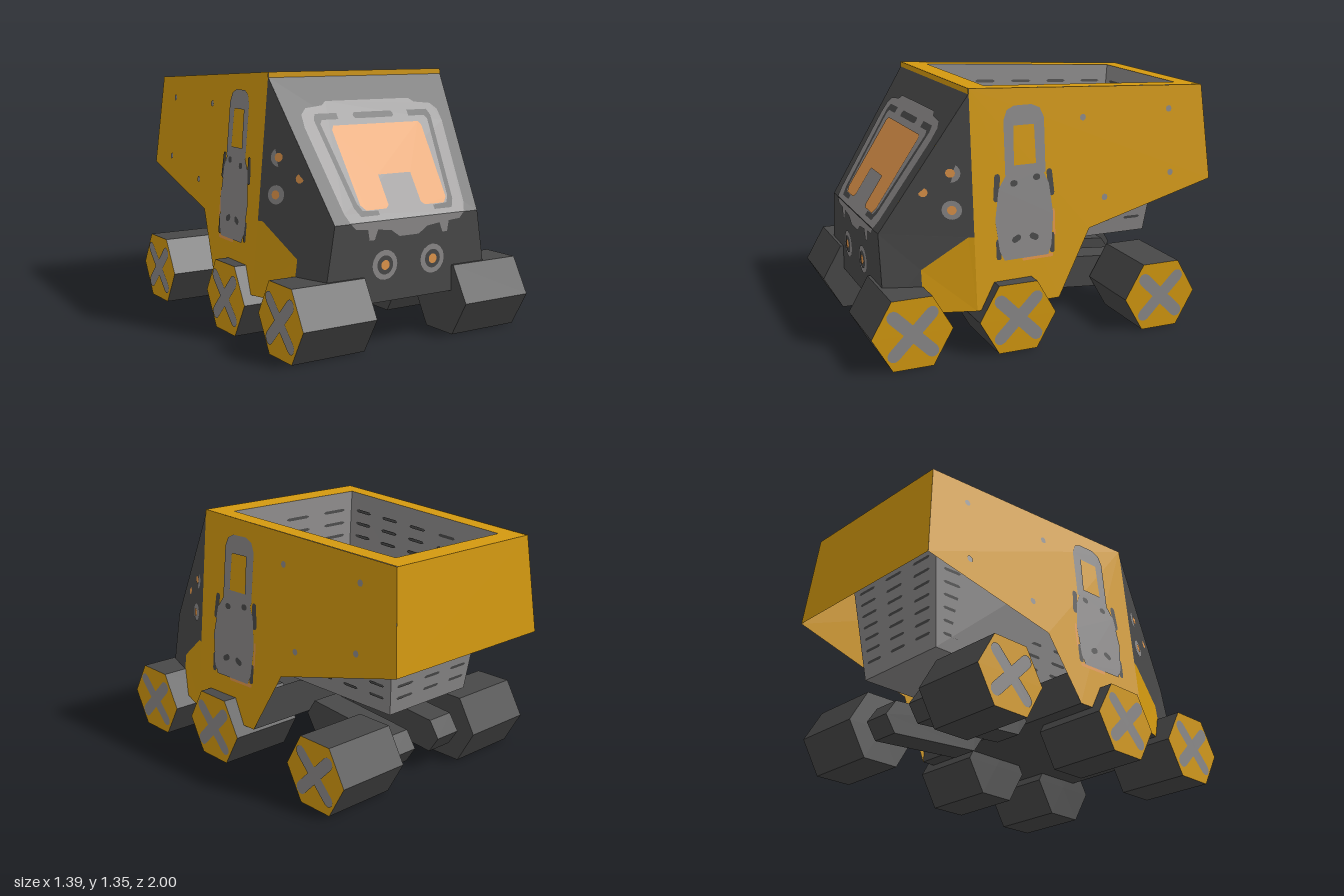
import * as THREE from 'three';

const mat = (name, color) => new THREE.MeshStandardMaterial({ name, color, flatShading: true, side: THREE.DoubleSide });

export function createModel() {
  const yellow = mat('yellow paint', 0xd2980f), dark = mat('dark metal', 0x484848);
  const gray = mat('gray metal', 0x8a8888), orange = mat('orange glass', 0xe0954a);
  const model = new THREE.Group();
  model.name = 'miningTruck';

  // A surface maps flat (u, v) to a point; out is its outward direction.
  const surface = (out, at) => ({ out: new THREE.Vector3(...out).normalize(), at });

  // Flat panel or painted detail: outlines laid on a surface, lifted by off.
  function plate(name, material, outlines, surf, off = 0, holes = []) {
    const toV = (pts) => pts.map(([u, v]) => new THREE.Vector2(u, v));
    const shapes = outlines.map((o) => new THREE.Shape(toV(o)));
    holes.forEach((h) => shapes[0].holes.push(new THREE.Path(toV(h))));
    const geo = new THREE.ShapeGeometry(shapes);
    const pos = geo.attributes.position, p = new THREE.Vector3();
    for (let i = 0; i < pos.count; i++) {
      p.set(...surf.at(pos.getX(i), pos.getY(i))).addScaledVector(surf.out, off);
      pos.setXYZ(i, p.x, p.y, p.z);
    }
    geo.computeVertexNormals();
    const n = new THREE.Vector3().fromBufferAttribute(geo.attributes.normal, 0);
    if (n.dot(surf.out) < 0) {
      geo.index.array.reverse();
      geo.computeVertexNormals();
    }
    const mesh = new THREE.Mesh(geo, material);
    mesh.name = name;
    model.add(mesh);
    return mesh;
  }

  // Outline helpers
  const disc = (cx, cy, r, n = 16) => Array.from({ length: n }, (_, i) =>
    [cx + r * Math.cos(i / n * Math.PI * 2), cy + r * Math.sin(i / n * Math.PI * 2)]);
  const bar = (x0, y0, x1, y1, w) => {
    const a = Math.atan2(y1 - y0, x1 - x0), pts = [];
    for (let i = 0; i < 12; i++) {
      const t = a - Math.PI / 2 + (i < 6 ? i : i - 1) * Math.PI / 5;
      pts.push([(i < 6 ? x1 : x0) + w * Math.cos(t), (i < 6 ? y1 : y0) + w * Math.sin(t)]);
    }
    return pts;
  };
  const mirrored = (pts) => [...pts, ...pts.slice().reverse().map(([x, y]) => [-x, y])];
  const flip = (pts) => pts.map(([x, y]) => [-x, y]);

  // Body surfaces
  const sideX = (z, y) => 0.54 + (1.35 - y) * 0.089 + (z - 0.43) * 0.045;
  const cabX = (z, y) => {
    const t = (z - 0.43) / 0.45, front = 0.44 + (0.635 - y) * 0.165;
    return sideX(0.43, y) * (1 - t) + front * t;
  };
  const slope = surface([0, 0.45, 0.69], (x, y) => [x, y, 0.43 + (1.325 - y) * 0.45 / 0.69]);
  const nose = surface([0, 0, 1], (x, y) => [x, y, 0.88]);
  const top = surface([0, 1, 0], (x, z) => [x, 1.328 + 0.051 * z, z]);
  const rear = surface([0, 0, -1], (x, y) => [x, y, -0.95 - (1.28 - y) * 0.05 / 0.52]);

  // Yellow shell: rim, rear panel and front lip
  plate('rim', yellow, [mirrored([[0.54, 0.43], [0.478, -0.95]])], top, 0,
    [mirrored([[0.44, 0.31], [0.38, -0.84]])]);
  plate('rearPanel', yellow, [mirrored([[0.484, 1.28], [0.528, 0.76]])], rear);
  plate('frontLip', yellow, [mirrored([[0.54, 1.35], [0.542, 1.322]])],
    surface([0, 0, 1], (x, y) => [x, y, 0.432]));

  // Dark cab front and underside
  plate('cabSlope', dark, [mirrored([[0.542, 1.325], [0.44, 0.635]])], slope);
  plate('cabNose', dark, [mirrored([[0.44, 0.635], [0.507, 0.23]])], nose);
  plate('underside', dark, [mirrored([[0.507, 0.88], [0.639, 0.43], [0.618, -0.04]])],
    surface([0, -1, 0], (x, z) => [x, 0.23, z]));
  plate('undersideBack', dark, [mirrored([[0.618, 0.23], [0.6, 0.43]])],
    surface([0, 0, -1], (x, y) => [x, y, -0.04]));

  for (const s of [1, -1]) {
    const tag = s > 0 ? 'left' : 'right';
    const side = surface([s, 0.09, 0], (z, y) => [s * sideX(z, y), y, z]);
    const cab = surface([s, 0.1, 0.3], (z, y) => [s * cabX(z, y), y, z]);
    plate(tag + 'ShellSide', yellow, [[[0.43, 1.35], [-0.95, 1.28], [-1, 0.76], [-0.23, 0.575],
      [-0.04, 0.23], [0.43, 0.23]]], side);
    plate(tag + 'CabSide', dark, [[[0.43, 1.325], [0.88, 0.635], [0.88, 0.23], [0.69, 0.23],
      [0.69, 0.45], [0.46, 0.61], [0.43, 0.61]]], cab);
    plate(tag + 'Skirt', yellow, [[[0.43, 0.61], [0.46, 0.61], [0.69, 0.45], [0.69, 0.23], [0.43, 0.23]]], cab);

    // Hatch with handle loop
    plate(tag + 'HatchTrim', orange, [bar(0.0, 0.465, 0.16, 0.465, 0.01), bar(-0.02, 0.57, -0.02, 0.7, 0.006)], side, 0.003);
    plate(tag + 'HatchEdges', dark, [bar(0.3, 0.49, 0.3, 0.57, 0.014), bar(-0.005, 0.49, -0.005, 0.57, 0.014),
      bar(0.305, 0.79, 0.295, 0.9, 0.016), bar(-0.01, 0.79, 0.0, 0.9, 0.016), bar(0.07, 0.92, 0.22, 0.92, 0.012)], side, 0.004);
    plate(tag + 'Hatch', gray, [[[0.27, 0.47], [0.02, 0.47], [0, 0.52], [-0.015, 0.68], [0.005, 0.84],
      [0.04, 0.915], [0.24, 0.915], [0.29, 0.84], [0.315, 0.68], [0.295, 0.52]]], side, 0.006);
    plate(tag + 'HatchLoop', gray, [[[0.25, 0.9], [0.25, 1.18], [0.23, 1.23], [0.19, 1.25], [0.09, 1.25],
      [0.045, 1.23], [0.022, 1.18], [0.022, 0.9]]], side, 0.005,
      [[[0.2, 0.95], [0.195, 1.15], [0.08, 1.15], [0.075, 0.95]]]);
    plate(tag + 'HatchMarks', dark, [bar(0.19, 0.58, 0.21, 0.57, 0.016), bar(0.09, 0.57, 0.11, 0.58, 0.016),
      bar(0.2, 0.86, 0.21, 0.86, 0.016), bar(0.07, 0.88, 0.08, 0.88, 0.016)], side, 0.008);
    plate(tag + 'Rivets', gray, [[-0.205, 1.16], [-0.735, 1.165], [-0.74, 0.82], [-0.325, 0.73]]
      .map(([z, y]) => disc(z, y, 0.018, 8)), side, 0.004);

    // Cab side lamps
    const lamps = [[0.53, 0.935], [0.66, 0.84], [0.53, 0.75]];
    plate(tag + 'SideLampRims', gray, lamps.map(([z, y]) => disc(z, y, 0.048)), cab, 0.004);
    plate(tag + 'SideLamps', orange, lamps.map(([z, y]) => disc(z, y, 0.023, 10)), cab, 0.008);
  }

  // Windscreen frame, groove and glass
  plate('windscreenFrame', gray, [mirrored([[0.26, 1.2], [0.29, 1.18], [0.39, 1.17], [0.425, 1.14], [0.43, 1.08],
    [0.37, 0.68], [0.35, 0.637]])], slope, 0.003);
  plate('windscreenFrameLip', gray, [mirrored([[0.35, 0.637], [0.32, 0.605], [0.25, 0.6], [0.24, 0.545], [0.21, 0.545],
    [0.19, 0.595], [0.11, 0.585], [0.06, 0.55]])], nose, 0.003);
  const groove = [[0.22, 1.14], [0.35, 1.14], [0.365, 1.11], [0.305, 0.7], [0.28, 0.66], [0.17, 0.66],
    [0.17, 0.68], [0.26, 0.685], [0.28, 0.72], [0.335, 1.09], [0.32, 1.11], [0.22, 1.11]];
  plate('windscreenGroove', dark, [groove, flip(groove), bar(-0.11, 1.125, 0.11, 1.125, 0.015)], slope, 0.005);
  plate('windscreen', orange, [mirrored([[0.1, 0.84], [0.1, 0.7], [0.12, 0.685], [0.24, 0.685], [0.265, 0.71],
    [0.28, 1.06], [0.265, 1.08]])], slope, 0.007);

  // Headlights
  [['headlightRims', gray, 0.075, 0.003], ['headlightRings', dark, 0.048, 0.005], ['headlights', orange, 0.025, 0.007]]
    .forEach(([name, m, r, off]) => plate(name, m, [disc(0.147, 0.415, r), disc(-0.147, 0.415, r)], nose, off));

  // Hopper: floor and four sloping slotted walls
  plate('hopperFloor', gray, [mirrored([[0.285, 0.2], [0.285, -0.73]])],
    surface([0, 1, 0], (x, z) => [x, 0.43, z]));
  const rimPts = [[0.44, 0.31], [0.38, -0.84], [-0.38, -0.84], [-0.44, 0.31]];
  const floorPts = [[0.285, 0.2], [0.285, -0.73], [-0.285, -0.73], [-0.285, 0.2]];
  const inward = [[-1, 0.15, 0], [0, 0.12, 1], [1, 0.15, 0], [0, 0.12, -1]];
  const mix = THREE.MathUtils.lerp;
  for (let i = 0; i < 4; i++) {
    const j = (i + 1) % 4;
    const wall = surface(inward[i], (u, v) => {
      const [tx, tz] = [0, 1].map((k) => mix(rimPts[i][k], rimPts[j][k], u));
      const [bx, bz] = [0, 1].map((k) => mix(floorPts[i][k], floorPts[j][k], u));
      return [mix(bx, tx, v), mix(0.43, 1.328 + 0.051 * tz, v), mix(bz, tz, v)];
    });
    plate('hopperWall', gray, [[[0, 0], [1, 0], [1, 1], [0, 1]]], wall);
    const slots = [], cols = i % 2 ? 3 : 5, half = i % 2 ? 0.1 : 0.055;
    for (let r = 0; r < 11; r++) {
      for (let c = 0; c < cols; c++) {
        const u = (c + 0.5) / cols, v = 0.1 + r * 0.079;
        slots.push([[u - half, v], [u - half * 0.8, v - 0.009], [u + half * 0.8, v - 0.009],
          [u + half, v], [u + half * 0.8, v + 0.009], [u - half * 0.8, v + 0.009]]);
      }
    }
    plate('hopperSlotsInside', dark, slots, wall, 0.004);
    plate('hopperSlotsOutside', dark, slots, wall, -0.004);
  }

  // Six hexagonal wheels with crossed hub marks, and the rear beams
  const cross = [bar(-0.1, -0.1, 0.1, 0.1, 0.034), bar(-0.1, 0.1, 0.1, -0.1, 0.034)];
  const beamShape = new THREE.Shape([[0.06, 0.23], [0.12, 0.32], [0.67, 0.275], [0.73, 0.185], [0.67, 0.095], [0.12, 0.14]]
    .map(([a, b]) => new THREE.Vector2(a, b)));
  for (const s of [1, -1]) {
    for (const z of [0.79, 0.225, -0.61]) {
      const geo = new THREE.CylinderGeometry(0.211, 0.211, 0.415, 6).rotateZ(-s * Math.PI / 2);
      const wheel = new THREE.Mesh(geo, [dark, yellow, dark]);
      wheel.name = 'wheel';
      wheel.position.set(s * 0.4825, 0.183, z);
      model.add(wheel);
      plate('hubCross', gray, cross, surface([s, 0, 0], (u, v) => [s * 0.69, 0.183 + v, z + u]), 0.004);
    }
    const beam = new THREE.Mesh(new THREE.ExtrudeGeometry(beamShape, { depth: 0.16, bevelEnabled: false })
      .translate(0, 0, -0.08).rotateY(Math.PI / 2), dark);
    beam.name = 'rearBeam';
    beam.position.x = s * 0.17;
    model.add(beam);
  }
  return model;
}
